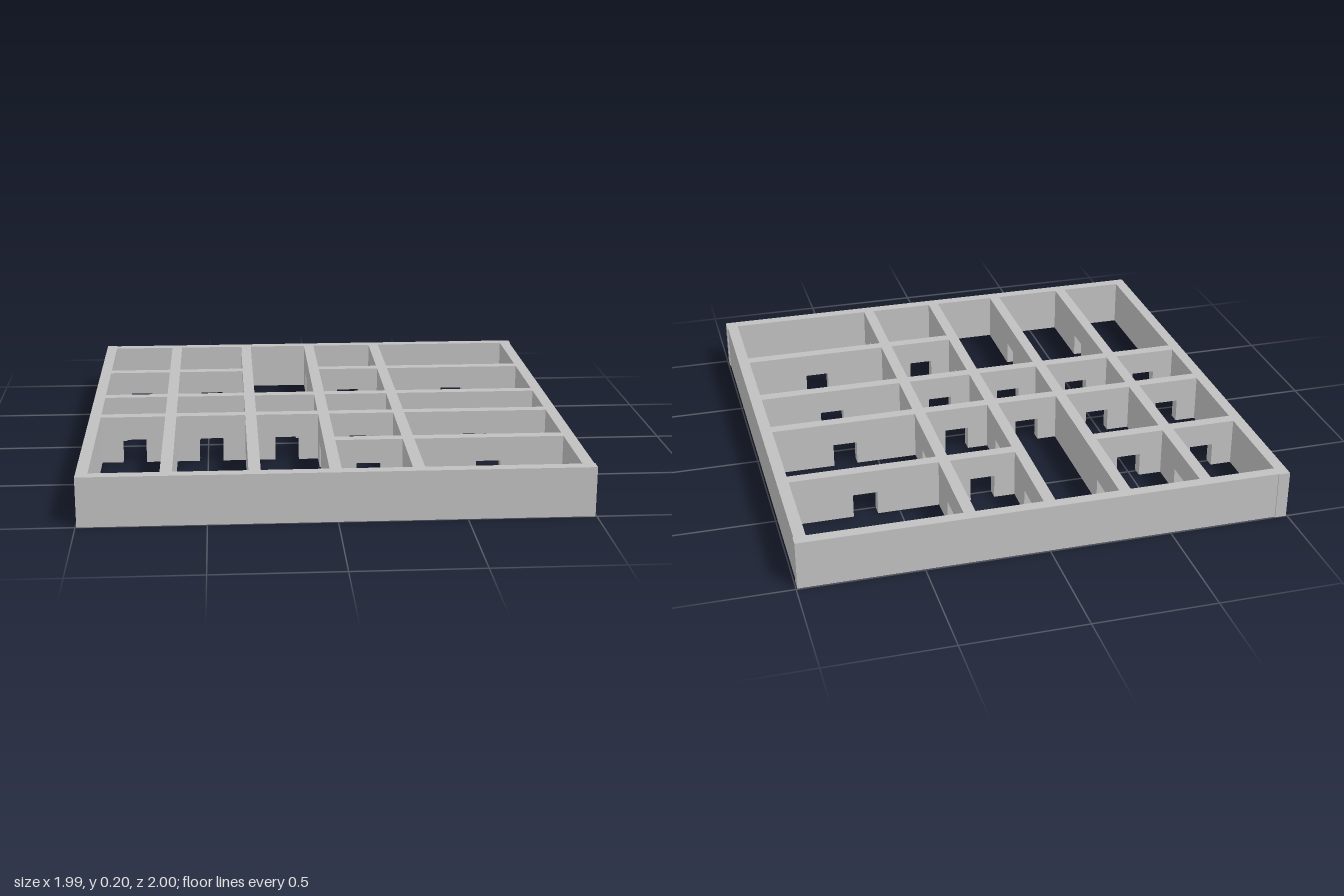
import * as THREE from 'three';

const H = 0.2;        // wall height
const T = 0.047;      // wall thickness
const DOOR_W = 0.1;
const DOOR_H = 0.1;

// Upright wall outline from u = a to b, with doorways cut up from the floor
function wallGeometry(a, b, doors) {
  const s = new THREE.Shape();
  s.moveTo(a, 0);
  for (const d of doors) {
    s.lineTo(d - DOOR_W / 2, 0);
    s.lineTo(d - DOOR_W / 2, DOOR_H);
    s.lineTo(d + DOOR_W / 2, DOOR_H);
    s.lineTo(d + DOOR_W / 2, 0);
  }
  s.lineTo(b, 0);
  s.lineTo(b, H);
  s.lineTo(a, H);
  const g = new THREE.ExtrudeGeometry(s, { depth: T, bevelEnabled: false });
  return g.translate(0, 0, -T / 2);
}

export function createModel() {
  const model = new THREE.Group();
  model.name = 'floorPlan';
  const grey = new THREE.MeshStandardMaterial({ color: 0xc0c0c0 });
  grey.name = 'wallGrey';

  // Wall running along x at depth z
  const crossWall = (name, z, a, b, doors = []) => {
    const m = new THREE.Mesh(wallGeometry(a, b, doors), grey);
    m.name = name;
    m.position.z = z;
    model.add(m);
  };
  // Wall running along z at position x
  const longWall = (name, x, a, b, doors = []) => {
    const m = new THREE.Mesh(wallGeometry(a, b, doors).rotateY(-Math.PI / 2), grey);
    m.name = name;
    m.position.x = x;
    model.add(m);
  };

  // Outer walls
  crossWall('backWall', -0.972, -0.99, 0.995);
  crossWall('frontWall', 0.976, -0.995, 0.995);
  longWall('rightOuterWall', -0.972, -1, 1);
  longWall('leftOuterWall', 0.968, -0.99, 0.99);

  // Partitions across the plan, a doorway in the middle of each room
  const cols = [-0.81, -0.485, -0.163, 0.152, 0.64];
  crossWall('rightBackPartition', -0.512, -0.96, -0.295, cols.slice(0, 2));
  crossWall('leftBackPartition', -0.525, 0, 0.95, cols.slice(3));
  crossWall('middleBackPartition', -0.1, -0.96, 0.95, cols);
  crossWall('middleFrontPartition', 0.2, -0.96, 0.95, cols);
  crossWall('leftFrontPartition', 0.573, 0, 0.95, cols.slice(3));

  // Partitions from back to front
  longWall('rightPartition', -0.654, -0.96, 0.96, [-0.74, 0.05, 0.587]);
  longWall('rightCorridorPartition', -0.317, -0.96, 0.96, [-0.74, 0.05, 0.587]);
  longWall('leftCorridorPartition', -0.008, -0.96, 0.96, [-0.74, -0.31, 0.05, 0.387]);
  longWall('leftPartition', 0.312, -0.96, 0.96, [-0.74, -0.31, 0.05, 0.387, 0.775]);

  return model;
}
